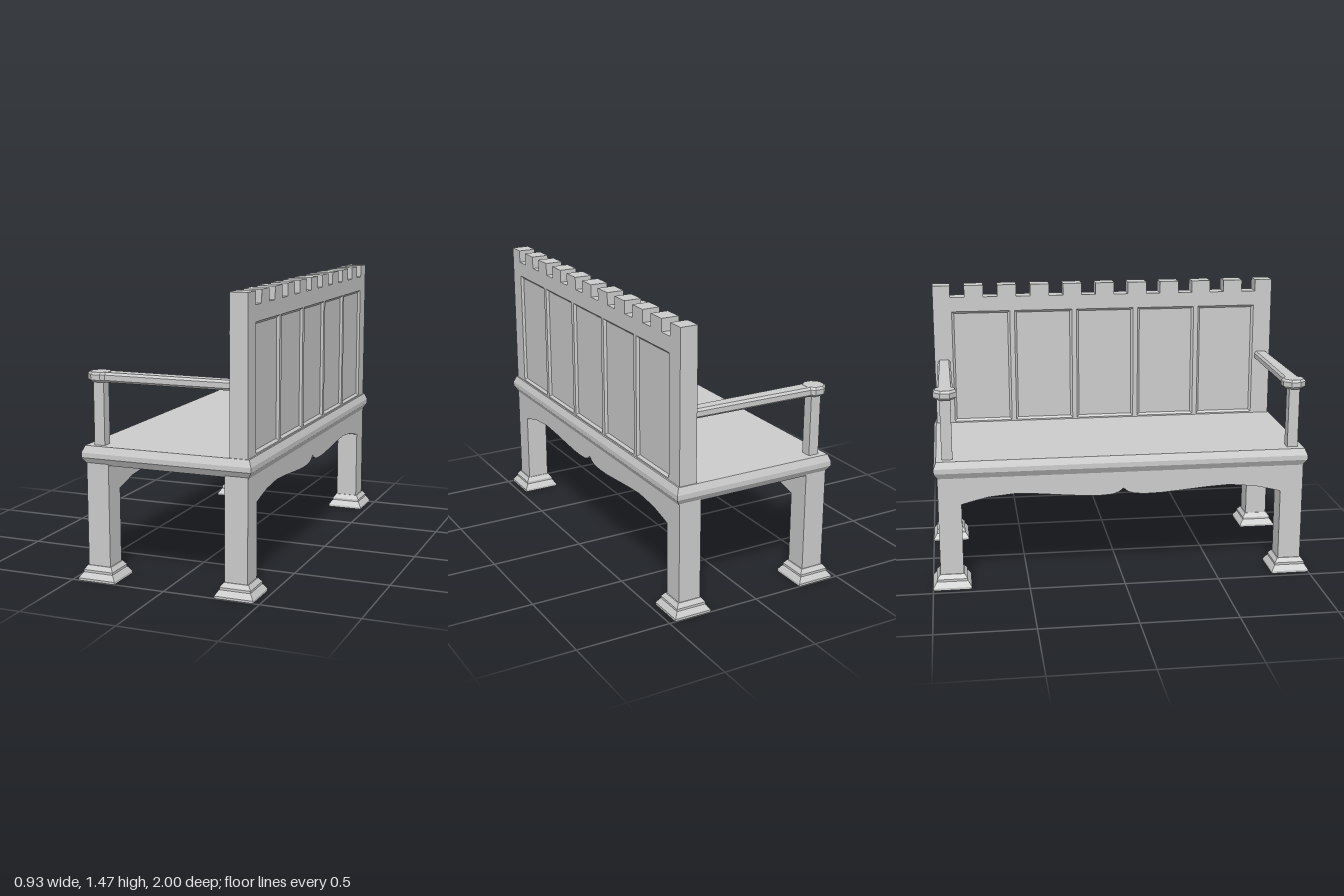
import * as THREE from 'three';

const material = new THREE.MeshStandardMaterial({ color: 0xcccccc, flatShading: true });

// Skin a stack of rings; each ring is [y, [[x, z], ...]] with corners counter-clockwise from above.
function loft(rings, capFirst = true) {
  const pos = [];
  const n = rings[0][1].length;
  const put = (i, j) => {
    const [x, z] = rings[i][1][j % n];
    pos.push(x, rings[i][0], z);
  };
  const last = rings.length - 1;
  for (let i = 0; i < last; i++) {
    for (let j = 0; j < n; j++) {
      put(i, j); put(i, j + 1); put(i + 1, j + 1);
      put(i, j); put(i + 1, j + 1); put(i + 1, j);
    }
  }
  for (let j = 1; j < n - 1; j++) {
    put(last, 0); put(last, j); put(last, j + 1);
    if (capFirst) { put(0, 0); put(0, j + 1); put(0, j); }
  }
  const geo = new THREE.BufferGeometry();
  geo.setAttribute('position', new THREE.Float32BufferAttribute(pos, 3));
  geo.computeVertexNormals();
  return geo;
}

const rect = (hx, hz) => [[hx, hz], [hx, -hz], [-hx, -hz], [-hx, hz]];

const polygon = (r, sides) => Array.from({ length: sides }, (_, i) => {
  const a = ((i + 0.5) / sides) * Math.PI * 2;
  return [r * Math.cos(a), -r * Math.sin(a)];
});

// Extrude a (z, y) outline along x, from x0 to x1.
function slab(shape, x0, x1) {
  const geo = new THREE.ExtrudeGeometry(shape, { depth: x1 - x0, bevelEnabled: false });
  return geo.rotateY(Math.PI / 2).translate(x0, 0, 0);
}

export function createModel() {
  const bench = new THREE.Group();
  bench.name = 'bench';
  const add = (name, geo, x = 0, y = 0, z = 0) => {
    const mesh = new THREE.Mesh(geo, material);
    mesh.name = name;
    mesh.position.set(x, y, z);
    bench.add(mesh);
    return mesh;
  };

  // Leg pairs joined by a scalloped apron
  const half = [[0, 0.505], [0.025, 0.485], [0.06, 0.474], [0.12, 0.47], [0.2, 0.472], [0.32, 0.482],
    [0.44, 0.493], [0.56, 0.5], [0.7, 0.487], [0.78, 0.468], [0.84, 0.452], [0.84, 0.06], [0.96, 0.06], [0.96, 0.6]];
  const outline = [...half, ...half.slice(1).reverse().map(([z, y]) => [-z, y])];
  const legShape = new THREE.Shape(outline.map(([z, y]) => new THREE.Vector2(z, y)));
  add('frontLegsAndApron', slab(legShape, -0.427, -0.308));
  add('backLegsAndApron', slab(legShape, 0.306, 0.425));

  // Stepped feet
  const foot = loft([[0, 0.1], [0.012, 0.1], [0.036, 0.084], [0.04, 0.08], [0.052, 0.08], [0.074, 0.064]]
    .map(([y, h]) => [y, rect(h, h)]));
  for (const x of [-0.367, 0.367]) for (const z of [-0.9, 0.9]) add('foot', foot, x, 0, z);

  // Seat board with a moulded edge
  add('seat', loft([[0.59, 0.425, 0.955], [0.625, 0.447, 0.977], [0.65, 0.447, 0.977], [0.685, 0.433, 0.963]]
    .map(([y, hx, hz]) => [y, rect(hx, hz)])));

  // Backrest: battlemented top edge and five openings
  const x0 = 0.332, x1 = 0.425, end = 0.958, gapY = 1.4, topY = 1.465;
  const back = new THREE.Shape();
  back.moveTo(-end, 0.62);
  for (let k = -5; k <= 5; k++) {
    const a = Math.max(k * 0.183 - 0.0525, -end), b = Math.min(k * 0.183 + 0.0525, end);
    if (k > -5) back.lineTo(a, gapY);
    back.lineTo(a, topY);
    back.lineTo(b, topY);
    if (k < 5) back.lineTo(b, gapY);
  }
  back.lineTo(end, 0.62);
  back.closePath();

  const panelHalf = 0.161, low = 0.692, high = 1.32, pitch = 0.3475, mid = (low + high) / 2;
  const panelZ = [-2, -1, 0, 1, 2].map((k) => k * pitch);
  for (const z of panelZ) {
    const hole = new THREE.Path();
    hole.moveTo(z - panelHalf, low);
    hole.lineTo(z - panelHalf, high);
    hole.lineTo(z + panelHalf, high);
    hole.lineTo(z + panelHalf, low);
    hole.closePath();
    back.holes.push(hole);
  }
  add('backrest', slab(back, x0, x1));

  // Shallow sunken panels with sloped edges, on both faces
  const hy = (high - low) / 2;
  const panel = loft([[0, rect(hy, panelHalf)], [-0.012, rect(hy - 0.012, panelHalf - 0.012)]], false);
  for (const z of panelZ) {
    add('backPanel', panel, x1, mid, z).rotation.z = -Math.PI / 2;
    add('frontPanel', panel, x0, mid, z).rotation.z = Math.PI / 2;
  }

  // Arms: post, chamfered rail and octagonal knob
  const levels = [[1.0, 0.014], [1.012, 0], [1.038, 0], [1.05, 0.01]];
  const rail = loft(levels.map(([y, inset]) => {
    const f = 0.042 - inset, b = 0.035 - inset;
    return [y, [[0.34, b], [0.34, -b], [-0.36, -f], [-0.36, f]]];
  }));
  const knob = loft(levels.map(([y, inset]) => [y, polygon(0.064 - inset, 8)]));
  const post = new THREE.BoxGeometry(0.056, 0.34, 0.056);
  for (const side of [-1, 1]) {
    const z = side * 0.906;
    add('armPost', post, -0.367, 0.845, z);
    add('armRail', rail, 0, 0, z);
    add('armKnob', knob, -0.367, 0.001, z);
  }
  return bench;
}
